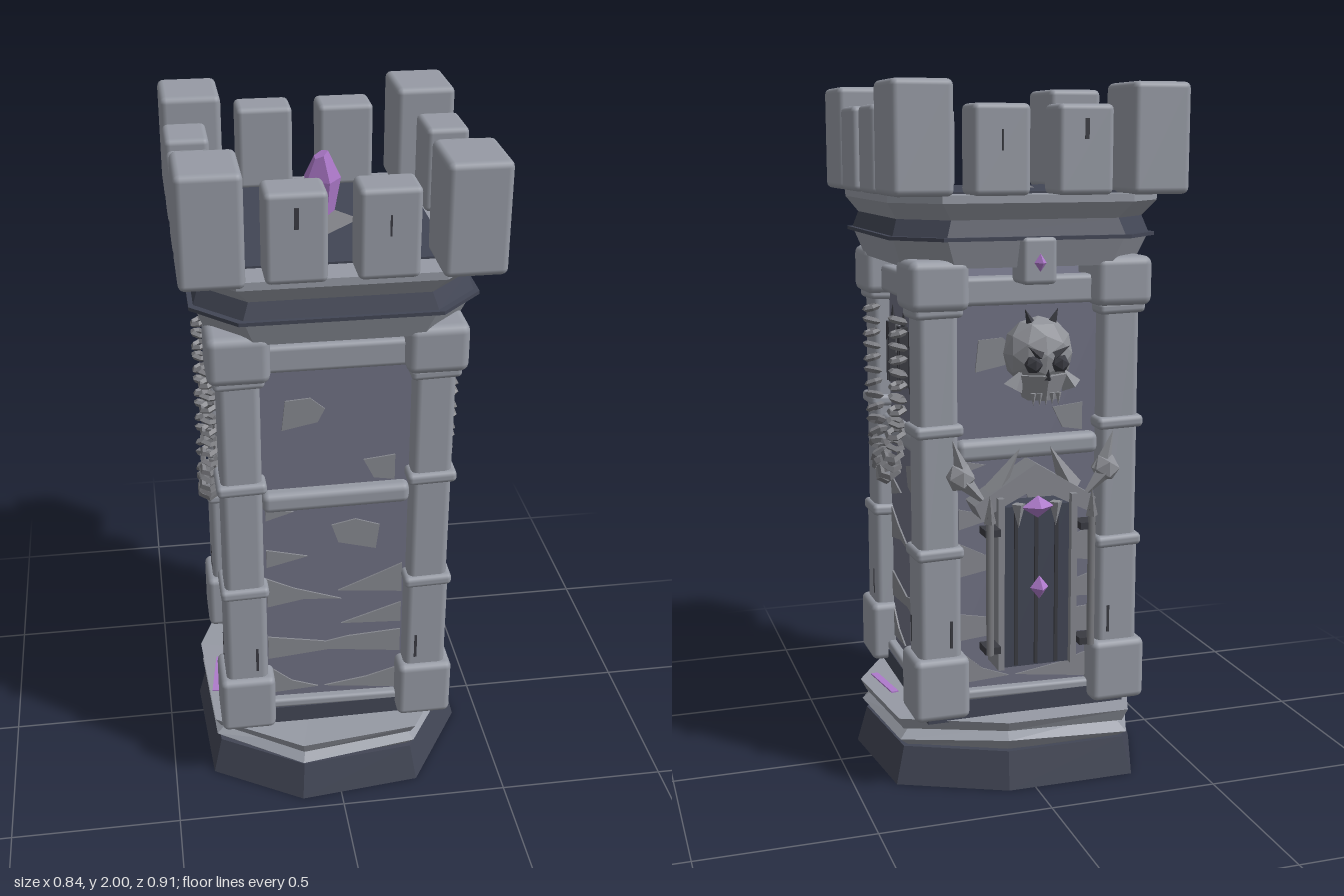
import * as THREE from 'three';
import { RoundedBoxGeometry } from 'three/addons/geometries/RoundedBoxGeometry.js';

const mat = (name, color) => {
  const m = new THREE.MeshStandardMaterial({ color });
  m.name = name;
  return m;
};

export function createModel() {
  const stone = mat('stone', 0x969aa4), wall = mat('wall stone', 0x707183), dark = mat('dark slate', 0x424655);
  const brick = mat('exposed brick', 0x86888f), iron = mat('iron', 0x3a3b42), chainMat = mat('chain metal', 0x7b7c81);
  const purple = mat('purple crystal', 0xae7acb), bone = mat('bone', 0x8f9197);

  const model = new THREE.Group();
  model.name = 'tower';
  const tower = new THREE.Group();
  tower.name = 'towerBody';
  tower.position.set(-0.003, 0, 0.028);
  model.add(tower);

  const add = (parent, name, geo, m, x = 0, y = 0, z = 0, rx = 0, ry = 0, rz = 0) => {
    const mesh = new THREE.Mesh(geo, m);
    mesh.name = name;
    mesh.position.set(x, y, z);
    mesh.rotation.set(rx, ry, rz);
    parent.add(mesh);
    return mesh;
  };
  const flat = (g) => {
    const f = g.index ? g.toNonIndexed() : g;
    f.computeVertexNormals();
    return f;
  };
  const block = (w, h, d, r = 0.014) => new RoundedBoxGeometry(w, h, d, 2, r);
  const box = (w, h, d) => new THREE.BoxGeometry(w, h, d);
  const cone = (r, h, n = 4) => flat(new THREE.ConeGeometry(r, h, n));
  const gem = (r) => flat(new THREE.OctahedronGeometry(r));
  const plate = (pts, t = 0.006) =>
    new THREE.ExtrudeGeometry(new THREE.Shape(pts.map(([x, y]) => new THREE.Vector2(x, y))), { depth: t, bevelEnabled: false });
  // Uneven prism between two outlines of [x, y, z]
  const loft = (low, high) => {
    const p = [], n = low.length;
    const mid = (r) => [0, 1, 2].map((k) => r.reduce((s, v) => s + v[k], 0) / n);
    const a = mid(low), b = mid(high);
    for (let i = 0; i < n; i++) {
      const j = (i + 1) % n;
      p.push(low[i], high[i], low[j], low[j], high[i], high[j], b, high[j], high[i], a, low[i], low[j]);
    }
    const g = new THREE.BufferGeometry();
    g.setAttribute('position', new THREE.Float32BufferAttribute(p.flat(), 3));
    g.computeVertexNormals();
    return g;
  };
  // Square outline of half width h with cut corners
  const cutSquare = (h, y) => {
    const k = h - 0.12;
    return [[h, -k], [h, k], [k, h], [-k, h], [-h, k], [-h, -k], [-k, -h], [k, -h]].map(([x, z]) => [x, y, z]);
  };

  // Rough rock base and two worn slabs, outline running from +x through +z
  const outline = [[0.42, 0.13], [0.24, 0.42], [-0.12, 0.46], [-0.38, 0.3], [-0.4, -0.1], [-0.3, -0.36], [0.08, -0.36], [0.38, -0.22]];
  const ring = (s, y, wob = 0) => outline.map(([x, z], i) => [x * s, y + wob * Math.sin(i * 2.3), 0.028 + (z - 0.028) * s]);
  const top = outline.map(([x, z]) => [Math.max(-0.4, x * 0.93), 0.11, Math.max(-0.36, z * 0.93)]);
  add(model, 'rockBase', loft(ring(1, 0), top), dark);
  add(model, 'lowerSlabFoot', loft(ring(0.88, 0.105), ring(0.96, 0.137, 0.01)), stone);
  add(model, 'lowerSlabTop', loft(ring(0.96, 0.137, 0.01), ring(0.86, 0.17)), stone);
  add(model, 'upperSlab', loft(ring(0.93, 0.166, 0.006), ring(0.97, 0.2, 0.002)), stone);
  for (const s of [-1, 1]) add(model, 'crystalSeam', box(0.022, 0.008, 0.17), purple, s * 0.345, 0.2, 0.07, 0, s * 0.15);

  // Shaft
  add(tower, 'plinth', box(0.6, 0.06, 0.6), dark, 0, 0.225, 0);
  add(tower, 'shaft', box(0.55, 1.23, 0.55), wall, 0, 0.86, 0);

  // Corner columns
  for (const x of [-1, 1]) for (const z of [-1, 1]) {
    const c = new THREE.Group();
    c.name = 'cornerColumn';
    c.position.set(x * 0.268, 0, z * 0.268);
    tower.add(c);
    add(c, 'columnFoot', block(0.163, 0.185, 0.163, 0.02), stone, 0, 0.312, 0);
    add(c, 'lowerColumn', block(0.125, 0.34, 0.125, 0.02), stone, 0, 0.55, 0);
    add(c, 'upperColumn', block(0.115, 0.72, 0.115, 0.02), stone, 0, 1.05, 0);
    for (const y of [0.705, 1.055, 1.385])
      add(c, 'columnBand', block(0.14, 0.036, 0.14), stone, 0, y, 0, 0.03 * x, 0, 0.03 * z);
    add(c, 'capital', block(0.17, 0.14, 0.17, 0.025), stone, 0, 1.458, 0);
    add(c, 'columnCrack', box(0.008, 0.08, 0.004), iron, -x * 0.03, 0.47, z * 0.062);
    add(c, 'columnCrack', box(0.004, 0.08, 0.008), iron, x * 0.062, 0.47, -z * 0.03);
  }

  // Beams and broken brick patches on each wall
  const patches = [
    [[-0.15, 1.21], [-0.05, 1.23], [-0.03, 1.27], [-0.07, 1.305], [-0.14, 1.3]],
    [[0.08, 1.1], [0.11, 1.04], [0.17, 1.03], [0.17, 1.11]],
    [[-0.01, 0.89], [0.01, 0.83], [0.12, 0.8], [0.13, 0.88], [0.06, 0.905]],
    [[-0.2, 0.92], [-0.12, 0.945], [-0.2, 0.96]],
    [[-0.2, 0.76], [-0.08, 0.79], [-0.2, 0.82]],
    [[0.2, 0.64], [0.2, 0.74], [0.13, 0.71], [0.01, 0.66]],
    [[-0.2, 0.62], [-0.09, 0.64], [0.02, 0.63], [-0.12, 0.68], [-0.2, 0.72]],
    [[0.2, 0.53], [0.2, 0.6], [0.11, 0.57], [0.02, 0.54]],
    [[-0.2, 0.43], [0.01, 0.45], [0.17, 0.43], [-0.04, 0.48], [-0.2, 0.51]],
    [[0.2, 0.42], [0.2, 0.5], [0.04, 0.49], [-0.11, 0.46]],
    [[-0.2, 0.3], [-0.05, 0.31], [-0.13, 0.34], [-0.2, 0.4]],
    [[0.2, 0.28], [0.2, 0.36], [0.1, 0.33], [-0.03, 0.31]],
  ];
  for (let i = 0; i < 4; i++) {
    const side = new THREE.Group();
    side.name = 'wallSide';
    side.rotation.y = i * Math.PI / 2;
    tower.add(side);
    patches.forEach((p) => add(side, 'brickPatch', plate(p), brick, 0, 0, 0.274));
    add(side, 'topBeam', block(0.4, 0.08, 0.06), stone, 0, 1.437, 0.275);
    add(side, 'middleBeam', block(0.42, 0.062, 0.06, 0.02), stone, 0, 0.992, 0.28, 0, 0, 0.012);
    add(side, 'bottomBeam', block(0.42, 0.03, 0.05, 0.01), stone, 0, 0.265, 0.275, 0, 0, -0.02);
  }

  // Cornice with cut corners
  const course = (name, h0, y0, h1, y1, m) => add(tower, name, loft(cutSquare(h0, y0), cutSquare(h1, y1)), m);
  course('corniceFoot', 0.345, 1.505, 0.372, 1.58, stone);
  course('corniceLip', 0.388, 1.58, 0.388, 1.59, dark);
  course('corniceDark', 0.375, 1.59, 0.36, 1.635, dark);
  course('corniceSlope', 0.36, 1.635, 0.392, 1.68, stone);
  course('corniceTop', 0.392, 1.68, 0.392, 1.702, stone);
  add(tower, 'roofFloor', box(0.595, 0.008, 0.6), dark, 0, 1.704, 0);

  // Battlements
  for (const x of [-1, 1]) for (const z of [-1, 1])
    add(tower, 'cornerMerlon', block(0.168, 0.3, 0.21, 0.018), stone, x * 0.334, 1.85, z * 0.332);
  for (const s of [-1, 1]) for (const o of [-0.121, 0.115]) {
    add(tower, 'merlon', block(0.16, 0.24, 0.12, 0.016), stone, o, 1.82, s * 0.36);
    add(tower, 'merlon', block(0.12, 0.24, 0.16, 0.016), stone, s * 0.358, 1.82, o + 0.003);
    add(tower, 'merlonCrack', box(o < 0 ? 0.012 : 0.005, 0.055, 0.006), iron, o, o < 0 ? 1.875 : 1.845, s * 0.419);
  }

  // Roof crystal with a leaning tip on a low mound
  add(tower, 'crystalMound', new THREE.ConeGeometry(0.12, 0.05, 4), chainMat, -0.006, 1.73, 0);
  add(tower, 'crystalBody', flat(new THREE.CylinderGeometry(0.054, 0.032, 0.12, 5)), purple, 0, 1.77, 0, 0, 0.3, 0);
  const tip = new THREE.CylinderGeometry(0.02, 0.054, 0.08, 5);
  const tp = tip.attributes.position;
  for (let i = 0; i < tp.count; i++) if (tp.getY(i) > 0) {
    tp.setX(i, tp.getX(i) - 0.012);
    tp.setZ(i, tp.getZ(i) + 0.02);
    tp.setY(i, 0.04 + tp.getX(i) * 0.5);
  }
  add(tower, 'crystalTip', flat(tip), purple, 0, 1.87, 0, 0, 0.3, 0);

  // Slit windows and hanging chains on the two sides
  const link = new THREE.TorusGeometry(0.021, 0.009, 4, 6);
  const hang = new THREE.CatmullRomCurve3([[0.165, 1.35], [0.16, 1.18], [0.12, 1.02], [0.06, 0.92], [0, 0.88],
    [-0.06, 0.92], [-0.12, 1.02], [-0.16, 1.18], [-0.165, 1.35]].map(([x, y]) => new THREE.Vector3(x, y, 0.342)));
  for (const s of [-1, 1]) {
    const g = new THREE.Group();
    g.name = 'sideWindowsAndChain';
    g.rotation.y = s * Math.PI / 2;
    tower.add(g);
    for (const x of [-0.135, 0, 0.135]) {
      add(g, 'slitBack', box(0.032, 0.18, 0.008), iron, x, 1.22, 0.276);
      for (const e of [-1, 1]) add(g, 'slitJamb', box(0.009, 0.18, 0.03), iron, x + e * 0.013, 1.22, 0.285);
      add(g, 'slitLintel', box(0.035, 0.05, 0.03), iron, x, 1.285, 0.285);
      add(g, 'slitGlow', box(0.018, 0.1, 0.006), purple, x, 1.2, 0.28);
      add(g, 'slitSpike', cone(0.01, 0.06), iron, x, 1.335, 0.283);
    }
    const n = 28;
    for (let i = 0; i <= n; i++) {
      const t = hang.getTangentAt(i / n), l = add(g, 'chainLink', flat(link), chainMat);
      l.position.copy(hang.getPointAt(i / n));
      // Links lie across the run of the chain, tilted back and forth
      l.rotation.set(Math.PI / 2 + (i % 2 ? 0.25 : -0.25), 0, Math.atan2(t.y, t.x) + Math.PI / 2, 'ZXY');
      l.scale.setScalar(1 + 0.3 * Math.sin(Math.PI * i / n) ** 6);
    }
  }

  // Back side: everything below is built facing +z and turned around
  const back = new THREE.Group();
  back.name = 'backSide';
  back.rotation.y = Math.PI;
  tower.add(back);
  add(back, 'keystone', block(0.1, 0.13, 0.1), stone, 0, 1.525, 0.345);
  add(back, 'keystoneGem', gem(0.026), purple, 0, 1.52, 0.394).scale.x = 0.7;

  // Skull ornament
  const skull = new THREE.Group();
  skull.name = 'skull';
  skull.position.set(0, 1.26, 0.385);
  back.add(skull);
  add(skull, 'cranium', flat(new THREE.IcosahedronGeometry(0.1, 1)), bone, 0, 0.015, -0.008).scale.z = 0.8;
  add(skull, 'jaw', flat(new THREE.CylinderGeometry(0.075, 0.05, 0.07, 6)), bone, 0, -0.075, 0.01);
  for (const s of [-1, 1]) {
    add(skull, 'eyeSocket', flat(new THREE.IcosahedronGeometry(0.026)), iron, s * 0.038, -0.008, 0.066);
    add(skull, 'browSpike', cone(0.014, 0.05), iron, s * 0.04, 0.03, 0.08, 0.5, 0, -s * 0.9);
    add(skull, 'cheek', cone(0.03, 0.06), bone, s * 0.07, -0.05, 0.03, 0, 0, s * 0.5);
    add(skull, 'hornChip', cone(0.012, 0.04), iron, s * 0.04, 0.12, 0.02, 0, 0, -s * 0.4);
  }
  add(skull, 'noseHole', cone(0.013, 0.03, 3), iron, 0, -0.035, 0.08);
  for (let i = -2; i <= 2; i++) add(skull, 'tooth', cone(0.009, 0.035), bone, i * 0.018, -0.105, 0.06, Math.PI);

  // Door with frame, lances and shard hood
  add(back, 'doorPanel', box(0.2, 0.47, 0.09), dark, 0, 0.605, 0.325);
  for (let i = -1; i <= 1; i++) add(back, 'doorStrap', box(0.01, 0.46, 0.008), iron, i * 0.06, 0.605, 0.372);
  add(back, 'doorGem', gem(0.034), purple, 0, 0.61, 0.4).scale.x = 0.8;
  add(back, 'hoodGem', gem(0.032), purple, 0, 0.84, 0.385).scale.x = 1.5;
  for (const s of [-1, 1]) {
    add(back, 'doorPost', box(0.018, 0.5, 0.1), brick, s * 0.108, 0.62, 0.34);
    add(back, 'lance', new THREE.CylinderGeometry(0.011, 0.011, 0.4, 6), chainMat, s * 0.15, 0.63, 0.415);
    add(back, 'lanceTip', cone(0.018, 0.08), chainMat, s * 0.15, 0.85, 0.415);
    for (const y of [0.44, 0.78]) add(back, 'lanceClamp', box(0.045, 0.02, 0.06), iron, s * 0.14, y, 0.385);
    add(back, 'hoodSlab', plate([[0, 0.96], [0, 0.89], [0.16, 0.81], [0.18, 0.85]].map(([x, y]) => [x * s, y]), 0.09), brick, 0, 0, 0.28);
    add(back, 'hoodShard', cone(0.035, 0.15), bone, s * 0.08, 0.94, 0.345, 0.2, 0, s * 0.5);
    add(back, 'hoodFang', cone(0.02, 0.07), bone, s * 0.055, 0.815, 0.38, Math.PI);
    add(back, 'boneKnob', flat(new THREE.IcosahedronGeometry(0.042)), bone, s * 0.215, 0.93, 0.35);
    add(back, 'boneSpike', cone(0.03, 0.12), bone, s * 0.22, 0.98, 0.35, 0, 0, -s * 0.3);
    add(back, 'boneClaw', cone(0.025, 0.11), bone, s * 0.17, 0.88, 0.36, 0, 0, s * 2.4);
  }
  return model;
}
